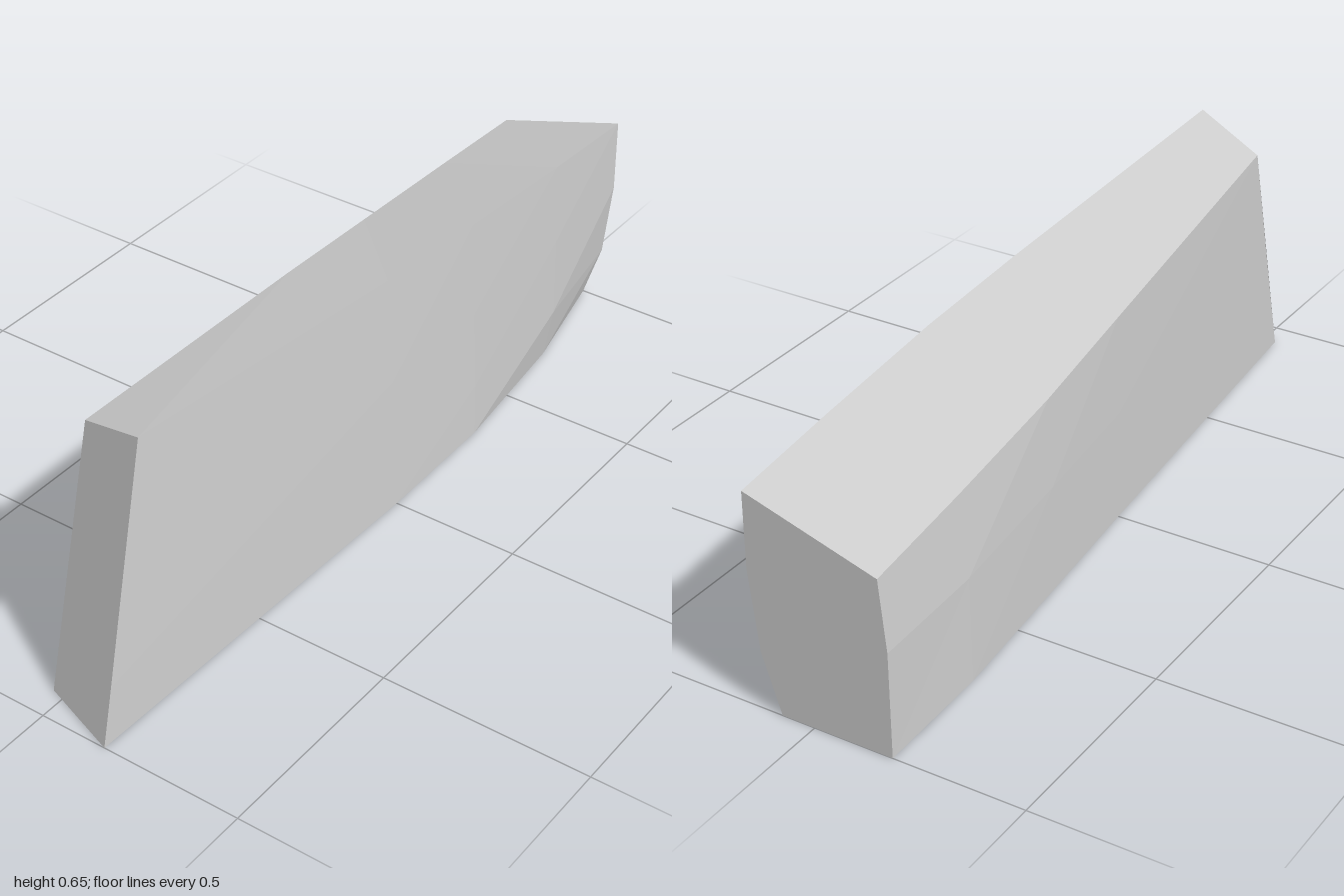
import * as THREE from 'three';

// Cross-sections [x, y] from front to back, each running from the bottom right
// edge up, over the top and down the left side.
const sections = [
  { z: null, ring: [[-0.032, 0], [-0.038, 0.3], [-0.046, 0.588], [0.131, 0.65], [0.147, 0.33], [0.157, 0.13], [0.163, 0]] },
  { z: 0, ring: [[-0.115, 0], [-0.115, 0.27], [-0.11, 0.51], [0.157, 0.59], [0.174, 0.33], [0.184, 0.13], [0.19, 0]] },
  { z: -0.33, ring: [[-0.147, 0], [-0.146, 0.26], [-0.136, 0.473], [0.161, 0.566], [0.173, 0.33], [0.182, 0.13], [0.186, 0]] },
  { z: -0.7, ring: [[-0.182, 0], [-0.178, 0.25], [-0.157, 0.44], [0.155, 0.535], [0.163, 0.33], [0.167, 0.13], [0.145, 0]] },
  { z: -1, ring: [[-0.19, 0], [-0.188, 0.25], [-0.171, 0.415], [0.145, 0.51], [0.146, 0.33], [0.125, 0.14], [0.08, 0]] },
];

// The front end is a slanted plane; the others are upright.
const frontZ = (x, y) => 0.941 + 0.363 * x - 0.274 * y;

function loft() {
  const n = sections[0].ring.length;
  const last = (sections.length - 1) * n;
  const positions = [];
  const index = [];
  for (const { z, ring } of sections) {
    for (const [x, y] of ring) positions.push(x, y, z === null ? frontZ(x, y) : z);
  }
  // Skin between neighbouring sections
  for (let i = 0; i < sections.length - 1; i++) {
    for (let j = 0; j < n; j++) {
      const a = i * n + j;
      const b = i * n + (j + 1) % n;
      index.push(a, b, a + n, b, b + n, a + n);
    }
  }
  // Front and back ends
  for (let j = 1; j < n - 1; j++) {
    index.push(0, j + 1, j);
    index.push(last, last + j, last + j + 1);
  }
  const geometry = new THREE.BufferGeometry();
  geometry.setAttribute('position', new THREE.Float32BufferAttribute(positions, 3));
  geometry.setIndex(index);
  const flat = geometry.toNonIndexed();
  flat.computeVertexNormals();
  return flat;
}

export function createModel() {
  const group = new THREE.Group();
  group.name = 'taperedBlock';
  const lightGrey = new THREE.MeshStandardMaterial({ color: 0xcccccc, flatShading: true });
  lightGrey.name = 'lightGrey';
  const body = new THREE.Mesh(loft(), lightGrey);
  body.name = 'body';
  group.add(body);
  return group;
}
